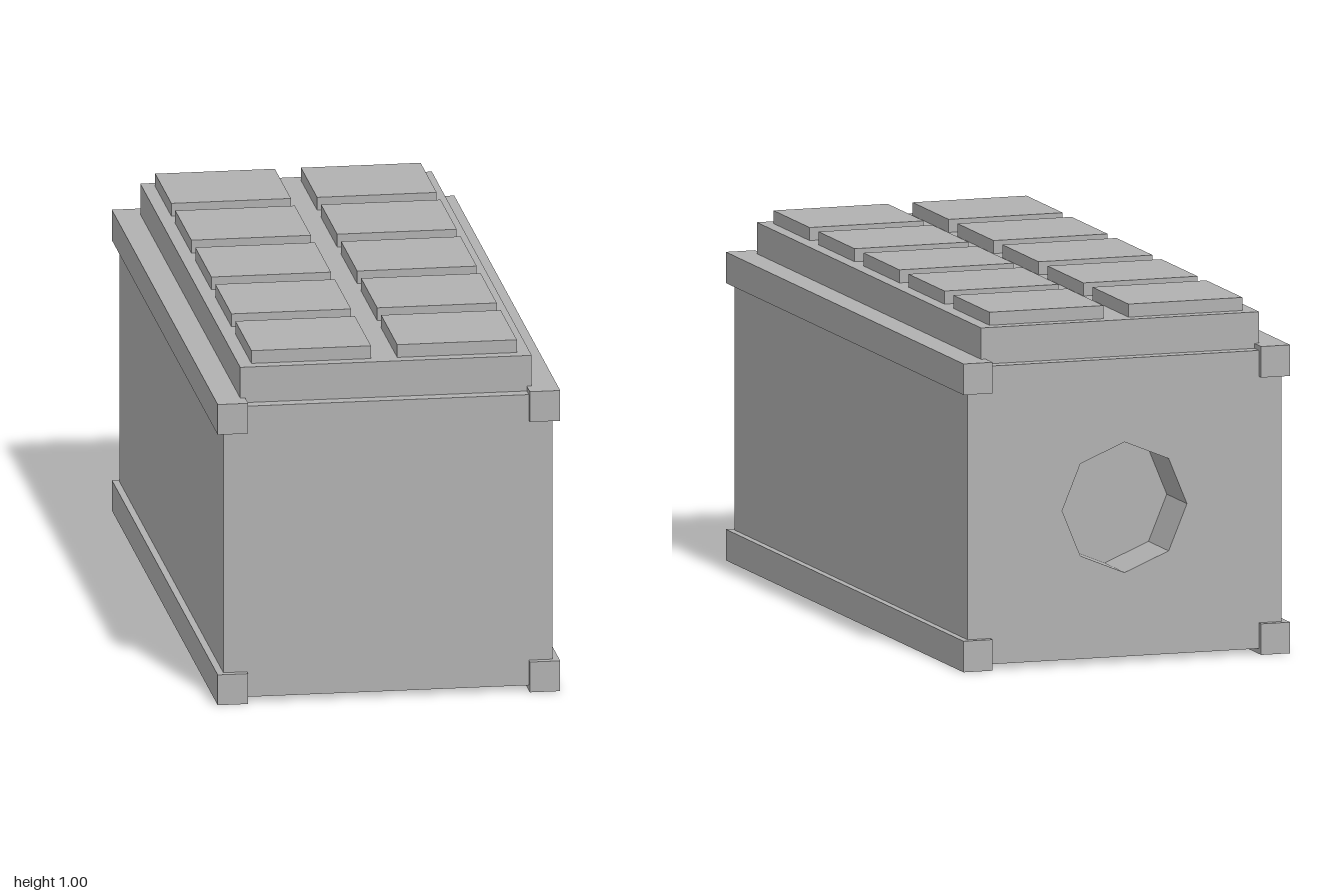
import * as THREE from 'three';

const grey = new THREE.MeshStandardMaterial({ color: 0xb0b0b0 });
grey.name = 'plain grey';

// Box given by its lower and upper limits on each axis
function block(name, [x0, x1], [y0, y1], [z0, z1]) {
  const mesh = new THREE.Mesh(new THREE.BoxGeometry(x1 - x0, y1 - y0, z1 - z0), grey);
  mesh.position.set((x0 + x1) / 2, (y0 + y1) / 2, (z0 + z1) / 2);
  mesh.name = name;
  return mesh;
}

export function createModel() {
  const model = new THREE.Group();
  model.name = 'crate';

  const halfW = 0.465, bottom = 0.015, top = 0.86, halfL = 0.98, recess = 0.17;

  // Solid body, ending at the floor of the rear recess
  model.add(block('body', [-halfW, halfW], [bottom, top], [-halfL + recess, halfL]));

  // Rear wall with an eight-sided opening
  const wall = new THREE.Shape();
  wall.moveTo(-halfW, bottom);
  wall.lineTo(halfW, bottom);
  wall.lineTo(halfW, top);
  wall.lineTo(-halfW, top);
  wall.closePath();
  const corners = [];
  for (let i = 0; i < 8; i++) {
    const a = -i * Math.PI / 4;
    corners.push(new THREE.Vector2(0.185 * Math.cos(a), (bottom + top) / 2 + 0.185 * Math.sin(a)));
  }
  wall.holes.push(new THREE.Path(corners));
  const rear = new THREE.Mesh(
    new THREE.ExtrudeGeometry(wall, { depth: recess, bevelEnabled: false }), grey);
  rear.position.z = -halfL;
  rear.name = 'rearWall';
  model.add(rear);

  // Long edge rails, top and bottom on both sides
  for (const [name, y] of [['bottomRail', [0, 0.088]], ['topRail', [0.786, 0.874]]]) {
    model.add(block(name + 'Left', [0.398, 0.484], y, [-1, 1]));
    model.add(block(name + 'Right', [-0.484, -0.398], y, [-1, 1]));
  }

  // Raised lid with two rows of five pads
  model.add(block('lid', [-0.412, 0.412], [top, 0.963], [-0.943, 0.943]));
  const pads = new THREE.Group();
  pads.name = 'lidPads';
  for (let i = -2; i <= 2; i++) {
    const z = [i * 0.378 - 0.152, i * 0.378 + 0.152];
    pads.add(block('padLeft', [0.037, 0.375], [0.963, 1], z));
    pads.add(block('padRight', [-0.375, -0.037], [0.963, 1], z));
  }
  model.add(pads);

  return model;
}
